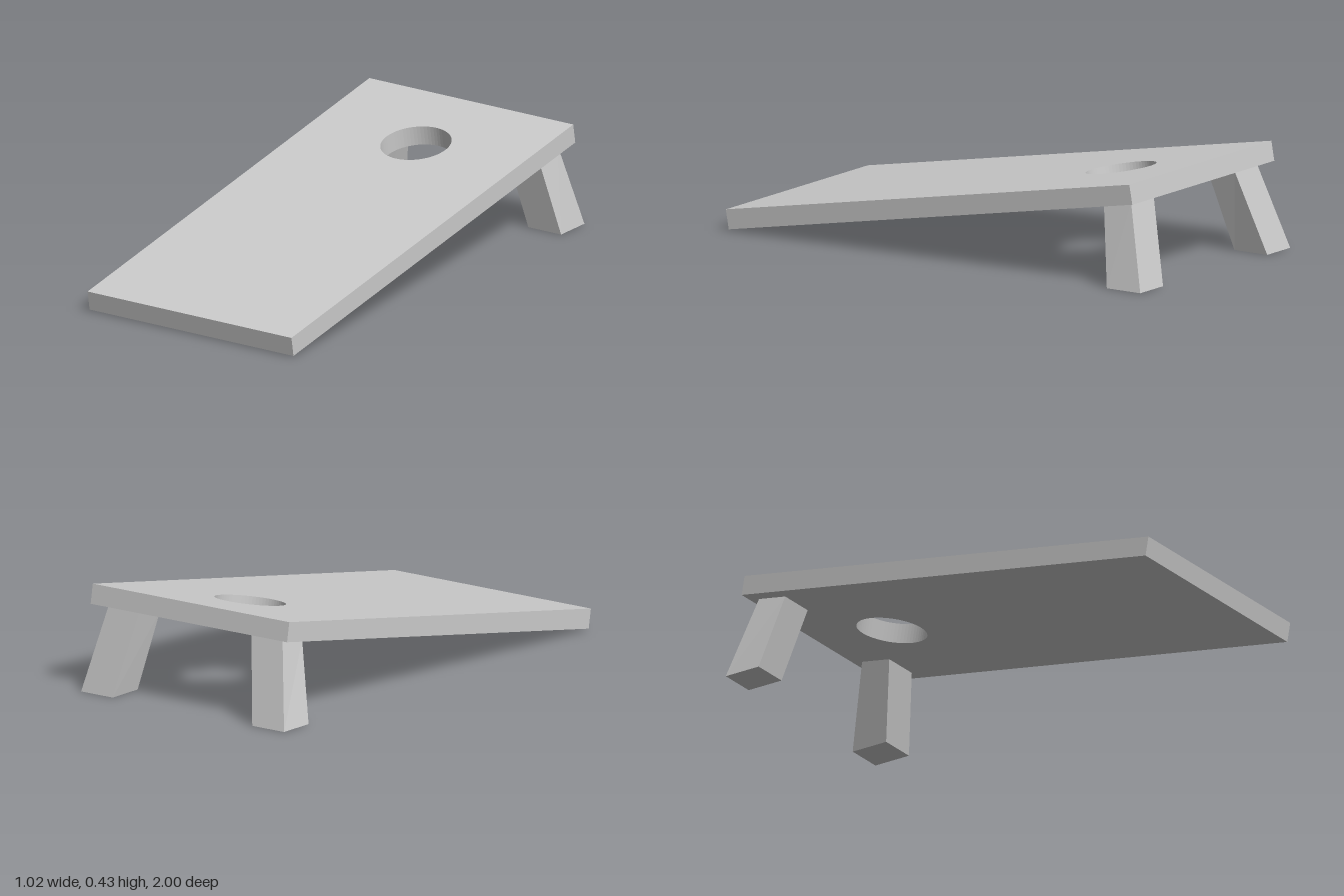
import * as THREE from 'three';

const TILT = 0.1754, LENGTH = 1.96, WIDTH = 0.977, THICK = 0.08, CX = 0.007;
const FRONT_Y = 0.006, FRONT_Z = 0.986; // lower front edge of the board

const material = new THREE.MeshStandardMaterial({ color: 0xcccccc, flatShading: true });

// Height of the board's underside at a given z
const underside = (z) => FRONT_Y + (FRONT_Z - z) * Math.tan(TILT);

// Sloping board with a round hole near the raised end
function makeBoard() {
  const w = WIDTH / 2;
  const shape = new THREE.Shape();
  shape.moveTo(-w, 0).lineTo(w, 0).lineTo(w, LENGTH).lineTo(-w, LENGTH).closePath();
  const hole = new THREE.Path();
  hole.absarc(0, 1.575, 0.141, 0, Math.PI * 2, true);
  shape.holes.push(hole);
  const geometry = new THREE.ExtrudeGeometry(shape, { depth: THICK, bevelEnabled: false, curveSegments: 32 });
  const board = new THREE.Mesh(geometry, material);
  board.rotation.x = TILT - Math.PI / 2;
  board.position.set(CX, FRONT_Y, FRONT_Z);
  board.name = 'board';
  return board;
}

// Splayed leg: a box whose foot is flat and whose top follows the underside.
// foot and top are [minX, maxX, backZ, frontZ]
function makeLeg(name, foot, top) {
  const geometry = new THREE.BoxGeometry(1, 1, 1);
  const p = geometry.attributes.position;
  for (let i = 0; i < p.count; i++) {
    const end = p.getY(i) > 0 ? top : foot;
    const x = end[p.getX(i) > 0 ? 1 : 0];
    const z = end[p.getZ(i) > 0 ? 3 : 2];
    p.setXYZ(i, x, end === top ? underside(z) : 0, z);
  }
  geometry.computeVertexNormals();
  const leg = new THREE.Mesh(geometry, material);
  leg.name = name;
  return leg;
}

export function createModel() {
  const group = new THREE.Group();
  group.name = 'tossBoard';
  group.add(
    makeBoard(),
    makeLeg('leftLeg', [0.35, 0.507, -0.99, -0.83], [0.285, 0.44, -0.9, -0.77]),
    makeLeg('rightLeg', [-0.51, -0.352, -1, -0.843], [-0.425, -0.27, -0.9, -0.775]),
  );
  return group;
}
